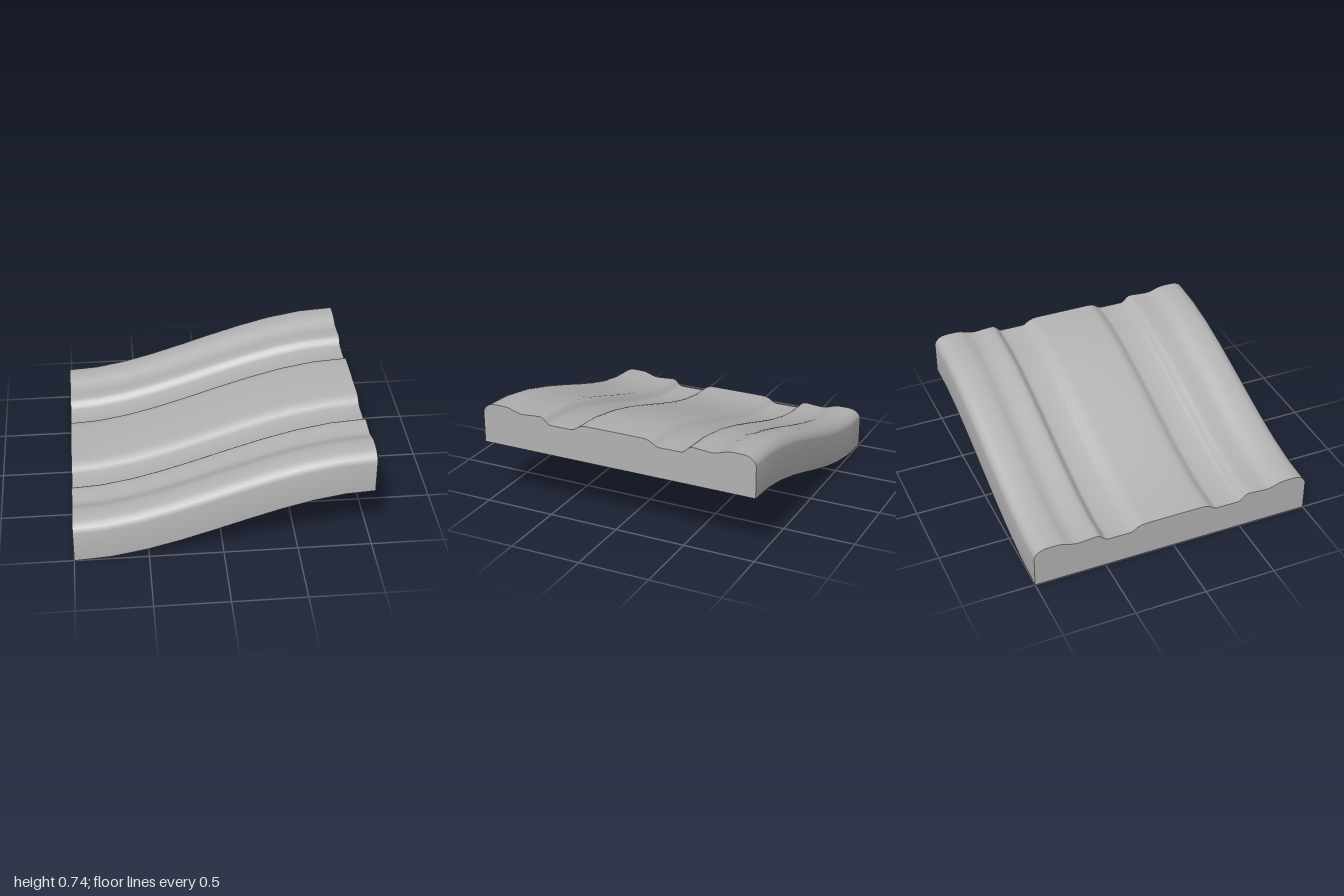
import * as THREE from 'three';
import { toCreasedNormals } from 'three/addons/utils/BufferGeometryUtils.js';

const THICK = 0.287; // slab thickness at its highest ridge
const SEGMENTS = 9;

// Half of the ridged top, from the centre line outwards: [offset, height above the underside]
const halfTop = [
  [0.2, 0.26], [0.235, 0.257], [0.262, 0.248], [0.285, 0.233], [0.302, 0.221], [0.32, 0.217],
  [0.48, 0.217], [0.497, 0.221], [0.512, 0.234], [0.53, 0.253], [0.545, 0.262], [0.565, 0.265],
  [0.62, 0.261], [0.68, 0.256], [0.715, 0.257], [0.745, 0.264], [0.775, 0.275], [0.805, 0.284],
  [0.84, THICK], [0.91, THICK], [0.94, 0.282], [0.964, 0.272], [0.983, 0.256], [0.995, 0.238], [1, 0.222],
];

// Move a straight slab onto an S-shaped slope, keeping sections square to the path
function bendAlongSlope(geometry) {
  const p = geometry.attributes.position;
  for (let i = 0; i < p.count; i++) {
    const s = p.getX(i), h = p.getY(i) - THICK / 2;
    const tilt = Math.atan(0.336 * (1 - s * s));
    const rise = 0.3675 + 0.224 * (1.5 * s - 0.5 * s ** 3);
    p.setXY(i, s - h * Math.sin(tilt), rise + h * Math.cos(tilt));
  }
  return geometry;
}

export function createModel() {
  const group = new THREE.Group();
  group.name = 'ridgedSlope';
  const grey = new THREE.MeshStandardMaterial({ color: 0xb4b4b4 });
  grey.name = 'plain grey';

  // Mirrored cross-section with a flat underside
  const outline = [
    [-1, 0], [1, 0],
    ...halfTop.slice().reverse(),
    ...halfTop.map(([x, y]) => [-x, y]),
  ].map(([x, y]) => new THREE.Vector2(x, y));

  const slab = new THREE.ExtrudeGeometry(new THREE.Shape(outline), {
    depth: 2, steps: SEGMENTS, bevelEnabled: false,
  });
  slab.translate(0, 0, -1).rotateY(Math.PI / 2);
  bendAlongSlope(slab);

  const mesh = new THREE.Mesh(toCreasedNormals(slab, 0.75), grey);
  mesh.name = 'ridgedSlab';
  group.add(mesh);
  return group;
}
